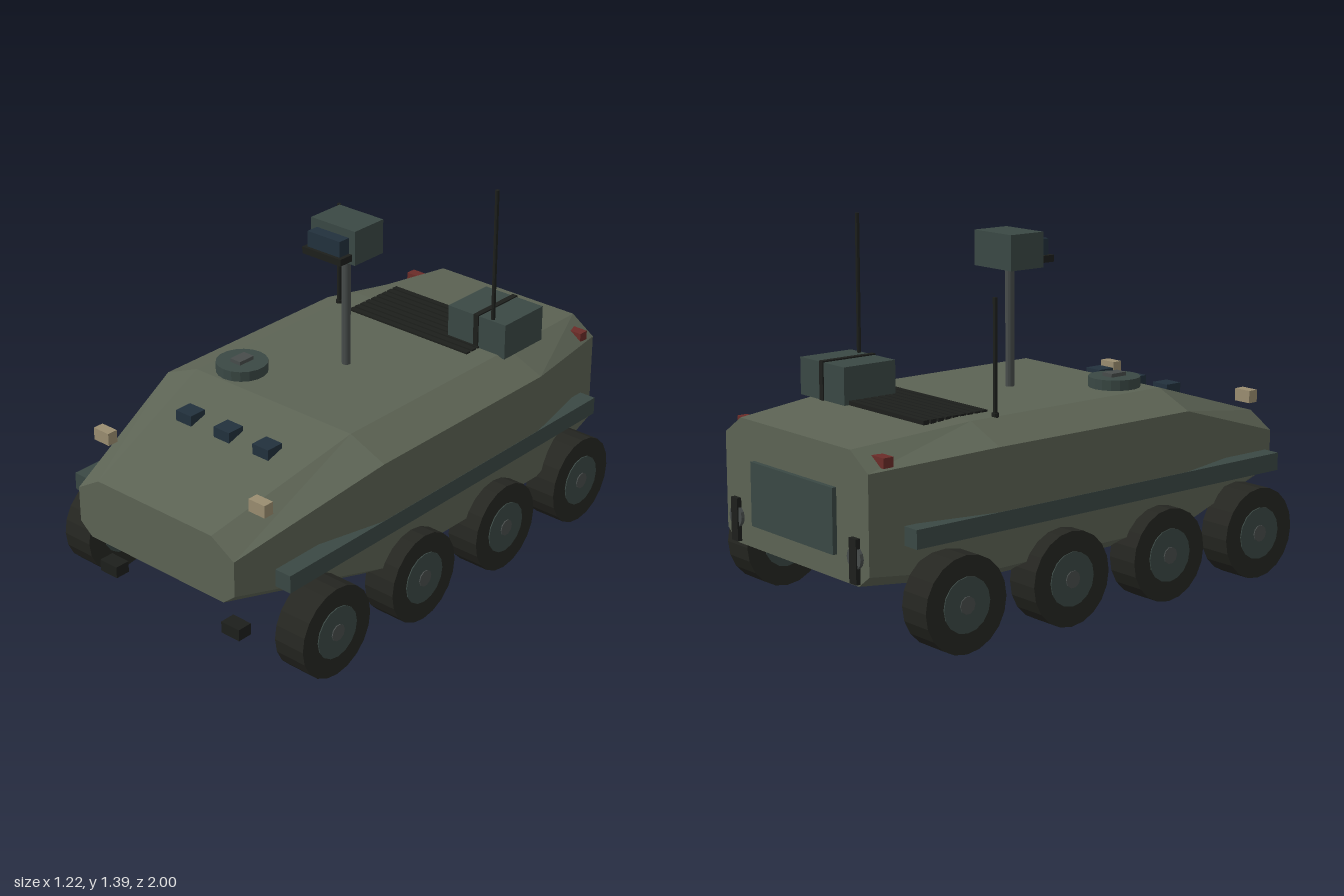
import * as THREE from 'three';

const mat = (color) => new THREE.MeshStandardMaterial({ color, flatShading: true });
const M = {
  hull: mat(0x5c6354), trim: mat(0x3a4844), dark: mat(0x1d1f1c), tyre: mat(0x252621),
  glass: mat(0x22313d), lamp: mat(0x9a8d70), red: mat(0x6b2c28), steel: mat(0x474c4b),
};

export function createModel() {
  const root = new THREE.Group();

  const add = (name, geo, m, x = 0, y = 0, z = 0, parent = root) => {
    const mesh = new THREE.Mesh(geo, m);
    mesh.name = name;
    mesh.position.set(x, y, z);
    parent.add(mesh);
    return mesh;
  };
  const box = (name, m, w, h, d, x, y, z, parent) =>
    add(name, new THREE.BoxGeometry(w, h, d), m, x, y, z, parent);
  const cyl = (r, h, n) => new THREE.CylinderGeometry(r, r, h, n);

  // Faceted hull lofted through eight-sided sections
  add('hull', hullGeometry(), M.hull);

  // Eight wheels, rails, lamps and hooks, mirrored left and right
  for (const s of [1, -1]) {
    const side = s > 0 ? 'left' : 'right';
    [0.72, 0.25, -0.225, -0.7].forEach((z, i) => {
      const wheel = new THREE.Group();
      wheel.name = `${side}Wheel${i + 1}`;
      wheel.position.set(s * 0.535, 0.175, z);
      wheel.rotation.z = -s * Math.PI / 2;
      add('tyre', cyl(0.175, 0.13, 20), M.tyre, 0, 0, 0, wheel);
      add('rim', cyl(0.1, 0.138, 16), M.trim, 0, 0, 0, wheel);
      add('hubCap', cyl(0.032, 0.146, 10), M.steel, 0, 0, 0, wheel);
      root.add(wheel);
    });
    box(`${side}SideRail`, M.trim, 0.068, 0.068, 1.745, s * 0.502, 0.417, 0.012);
    box(`${side}Headlamp`, M.lamp, 0.075, 0.048, 0.042, s * 0.383, 0.655, 0.862);
    box(`${side}TailLamp`, M.red, 0.065, 0.036, 0.042, s * 0.407, 0.67, -0.902);
    box(`${side}FrontHook`, M.dark, 0.085, 0.045, 0.06, s * 0.308, 0.163, 0.92);
    add(`${side}RearMount`, cyl(0.04, 0.016, 12), M.steel, s * 0.36, 0.34, -0.985).rotation.x = Math.PI / 2;
    box(`${side}RearHook`, M.dark, 0.04, 0.16, 0.02, s * 0.36, 0.33, -0.988);
  }

  // Rear door
  box('rearDoor', M.trim, 0.495, 0.235, 0.02, 0, 0.445, -0.988);

  // Vision blocks on the sloping nose
  for (const x of [-0.212, -0.022, 0.168]) box('visionBlock', M.glass, 0.076, 0.042, 0.072, x, 0.692, 0.602);

  // Engine grille slats
  for (let i = 0; i < 9; i++) box('grilleSlat', M.dark, 0.588, 0.016, 0.024, -0.003, 0.744, -0.63 + i * 0.0325);

  // Roof hatch
  add('hatch', cyl(0.098, 0.042, 18), M.trim, -0.25, 0.763, 0.293);
  box('hatchHandle', M.steel, 0.05, 0.016, 0.072, -0.25, 0.79, 0.293);

  // Sensor mast and head
  add('mast', cyl(0.017, 0.47, 12), M.steel, 0, 0.97, -0.005);
  box('sensorHead', M.trim, 0.21, 0.132, 0.155, 0, 1.261, -0.01);
  box('sensorWindow', M.glass, 0.154, 0.062, 0.055, 0, 1.265, 0.09);
  box('sensorShelf', M.dark, 0.184, 0.026, 0.065, 0, 1.222, 0.098);

  // Strapped stowage box
  box('stowageBox', M.trim, 0.272, 0.14, 0.23, 0.276, 0.806, -0.547);
  box('stowageStrap', M.dark, 0.022, 0.146, 0.24, 0.276, 0.808, -0.547);

  // Whip aerials
  for (const [x, z, top] of [[-0.375, -0.387, 1.165], [0.342, -0.447, 1.395]]) {
    add('aerial', cyl(0.008, top - 0.73, 8), M.dark, x, (top + 0.73) / 2, z);
    add('aerialBase', cyl(0.013, 0.02, 8), M.dark, x, 0.748, z);
  }

  return root;
}

function hullGeometry() {
  // z, then half width and height of roof edge, shoulder, sill and floor edge
  const sections = [
    [1, 0.28, 0.56, 0.385, 0.497, 0.385, 0.36, 0.33, 0.315],
    [0.4, 0.38, 0.745, 0.535, 0.68, 0.535, 0.258, 0.46, 0.208],
    [-0.5, 0.38, 0.745, 0.535, 0.68, 0.535, 0.252, 0.46, 0.208],
    [-0.98, 0.33, 0.707, 0.43, 0.64, 0.43, 0.285, 0.37, 0.24],
  ].map(([z, ...p]) => {
    const half = [0, 2, 4, 6].map((i) => new THREE.Vector3(p[i], p[i + 1], z));
    const mirrored = half.map((v) => new THREE.Vector3(-v.x, v.y, z));
    return [...half.reverse(), ...mirrored]; // counter-clockwise seen from the front
  });

  const points = [];
  const n = 8;
  for (let k = 0; k < sections.length - 1; k++) {
    const f = sections[k], b = sections[k + 1];
    for (let j = 0; j < n; j++) {
      const q = (j + 1) % n;
      points.push(f[j], b[j], b[q], f[j], b[q], f[q]);
    }
  }
  // End caps
  const front = sections[0], back = sections[sections.length - 1];
  for (let j = 1; j < n - 1; j++) {
    points.push(front[0], front[j], front[j + 1], back[0], back[j + 1], back[j]);
  }
  const geo = new THREE.BufferGeometry().setFromPoints(points);
  geo.computeVertexNormals();
  return geo;
}
